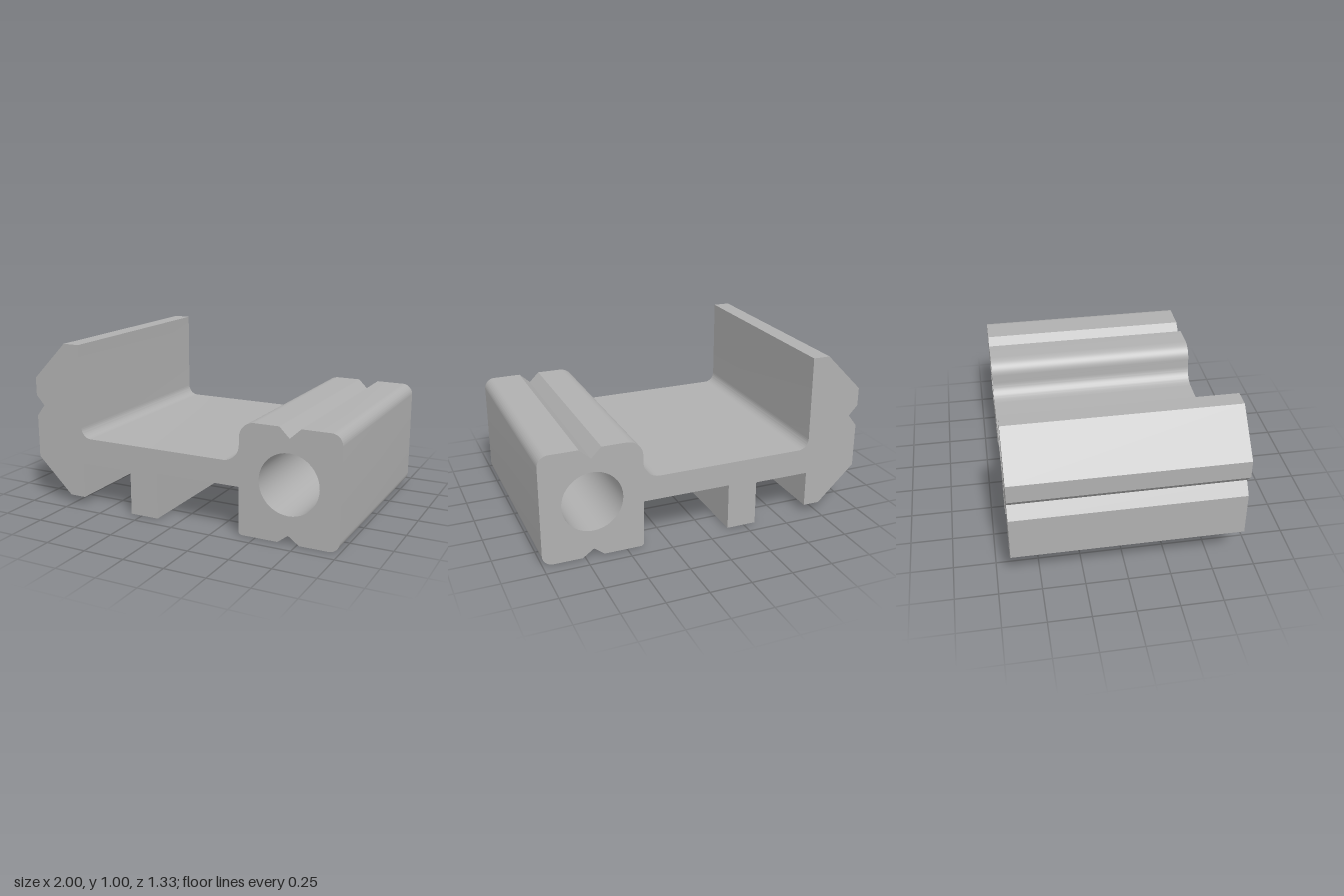
import * as THREE from 'three';
import { toCreasedNormals } from 'three/addons/utils/BufferGeometryUtils.js';

const DEPTH = 1.334;
const K = 0.5523; // Bezier factor for a quarter circle

// Closed outline from [x, y, radius] corners; a radius rounds the corner
function roundedOutline(corners) {
  const shape = new THREE.Shape();
  const n = corners.length;
  corners.forEach(([x, y, r = 0], i) => {
    const p = new THREE.Vector2(x, y);
    const toward = (q, d) =>
      new THREE.Vector2(q[0], q[1]).sub(p).setLength(d).add(p);
    const prev = corners[(i + n - 1) % n];
    const next = corners[(i + 1) % n];
    const a = r ? toward(prev, r) : p;
    if (i === 0) shape.moveTo(a.x, a.y);
    else shape.lineTo(a.x, a.y);
    if (r) {
      const c1 = toward(prev, r * (1 - K));
      const c2 = toward(next, r * (1 - K));
      const b = toward(next, r);
      shape.bezierCurveTo(c1.x, c1.y, c2.x, c2.y, b.x, b.y);
    }
  });
  shape.closePath();
  return shape;
}

export function createModel() {
  const group = new THREE.Group();
  group.name = 'extrudedRail';
  const grey = new THREE.MeshStandardMaterial({ color: 0xb0b0b0 });
  grey.name = 'grey';

  const profile = roundedOutline([
    // lower jaw of the tall flange
    [-1, 0.27], [-0.77, 0.05], [-0.668, 0.05], [-0.668, 0.27],
    // underside rib
    [-0.325, 0.27], [-0.325, 0], [-0.142, 0], [-0.142, 0.285],
    // bored block with a notch below and above
    [0.395, 0.285], [0.395, 0, 0.02],
    [0.635, 0], [0.698, 0.048], [0.765, 0],
    [1, 0, 0.065], [1, 0.666, 0.065],
    [0.765, 0.666], [0.698, 0.605], [0.637, 0.666],
    [0.395, 0.666, 0.095],
    // web with filleted ends
    [0.395, 0.43, 0.1], [-0.671, 0.43, 0.065],
    // tall flange with a notch in its outer face
    [-0.671, 1.003], [-0.775, 1.003], [-1, 0.775],
    [-1, 0.665], [-0.945, 0.605], [-1, 0.535],
  ]);

  // round bore
  const bore = new THREE.Path();
  bore.absarc(0.697, 0.343, 0.18, 0, Math.PI * 2, true);
  profile.holes.push(bore);

  const geometry = new THREE.ExtrudeGeometry(profile, {
    depth: DEPTH, bevelEnabled: false, curveSegments: 20,
  });
  geometry.translate(0, 0, -DEPTH / 2);

  const body = new THREE.Mesh(toCreasedNormals(geometry, 0.4), grey);
  body.name = 'railBody';
  group.add(body);
  return group;
}
